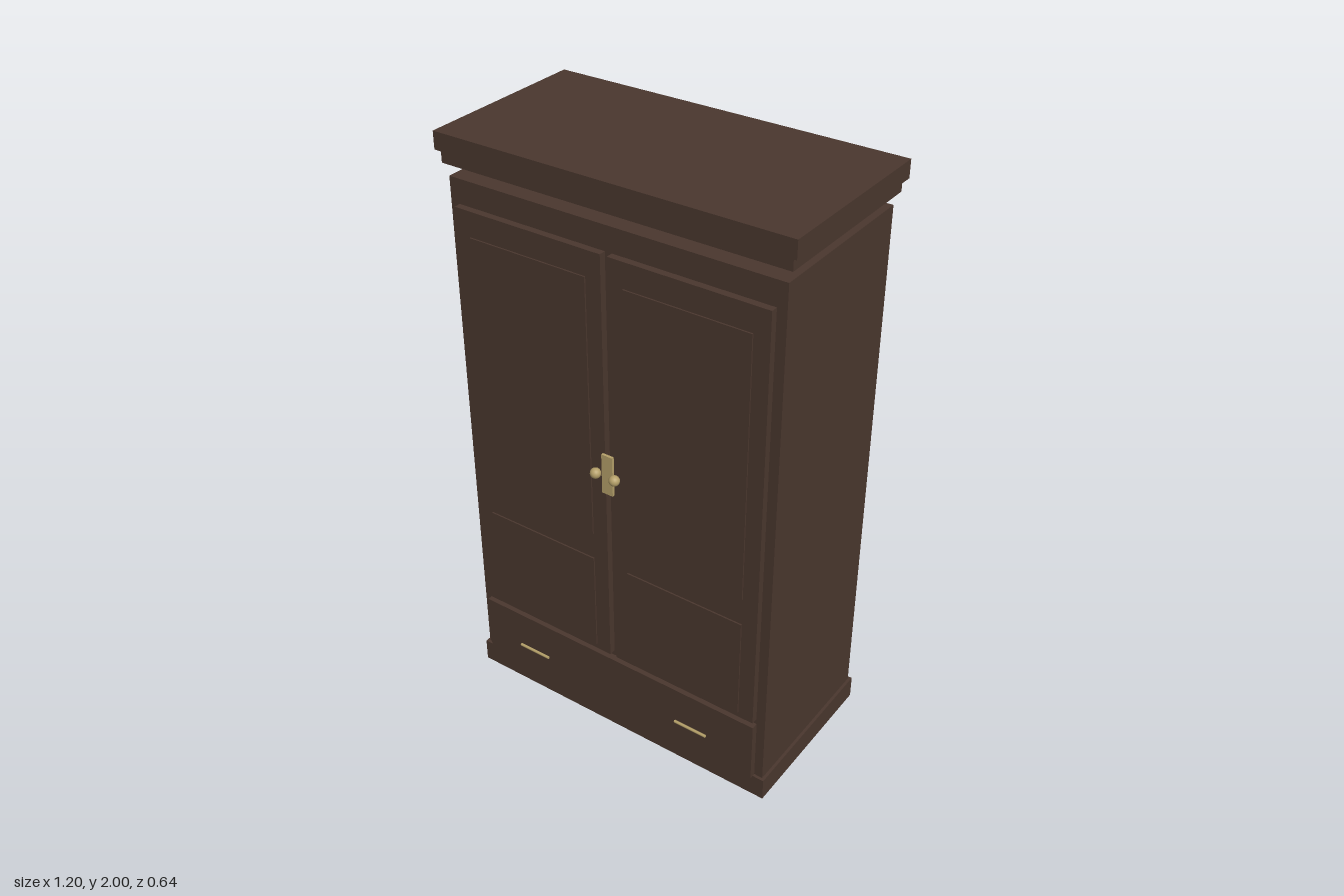
import * as THREE from 'three';

export function createModel() {
  const wood = new THREE.MeshStandardMaterial({ color: 0x4a372e });
  wood.name = 'dark wood';
  const brass = new THREE.MeshStandardMaterial({ color: 0xb5a069 });
  brass.name = 'brass';

  const wardrobe = new THREE.Group();
  wardrobe.name = 'wardrobe';

  const add = (name, geometry, material, x = 0, y = 0, z = 0) => {
    const mesh = new THREE.Mesh(geometry, material);
    mesh.name = name;
    mesh.position.set(x, y, z);
    wardrobe.add(mesh);
    return mesh;
  };
  // Box given by its limits on each axis
  const box = (name, material, x0, x1, y0, y1, z0, z1) =>
    add(name, new THREE.BoxGeometry(x1 - x0, y1 - y0, z1 - z0), material,
      (x0 + x1) / 2, (y0 + y1) / 2, (z0 + z1) / 2);

  // Carcass, plinth and the two-step cornice floating just above the body
  box('plinth', wood, -0.58, 0.58, 0, 0.08, -0.31, 0.27);
  box('body', wood, -0.57, 0.57, 0.08, 1.863, -0.3, 0.26);
  box('corniceLower', wood, -0.585, 0.585, 1.903, 1.943, -0.31, 0.27);
  box('corniceTop', wood, -0.6, 0.6, 1.943, 2, -0.32, 0.28);

  // Full-width drawer front
  box('drawer', wood, -0.54, 0.54, 0.08, 0.303, 0.26, 0.283);

  // Doors with raised panels, knobs and drawer pulls, mirrored left and right
  for (const [side, s] of [['left', 1], ['right', -1]]) {
    const sideBox = (name, x0, x1, ...rest) =>
      box(side + name, wood, Math.min(s * x0, s * x1), Math.max(s * x0, s * x1), ...rest);
    sideBox('Door', 0.012, 0.538, 0.323, 1.783, 0.26, 0.283);
    sideBox('UpperPanel', 0.065, 0.485, 0.8, 1.7, 0.283, 0.288);
    sideBox('LowerPanel', 0.065, 0.485, 0.343, 0.703, 0.283, 0.288);

    add(side + 'Knob', new THREE.SphereGeometry(0.0175, 16, 12), brass, s * 0.035, 1.055, 0.303);

    const pull = add(side + 'DrawerPull', new THREE.CylinderGeometry(0.005, 0.005, 0.12, 8),
      brass, s * 0.32, 0.193, 0.306);
    pull.rotation.z = Math.PI / 2;
  }

  // Lock plate over the meeting edges of the doors
  box('lockPlate', brass, -0.02, 0.02, 0.983, 1.123, 0.283, 0.292);

  return wardrobe;
}
